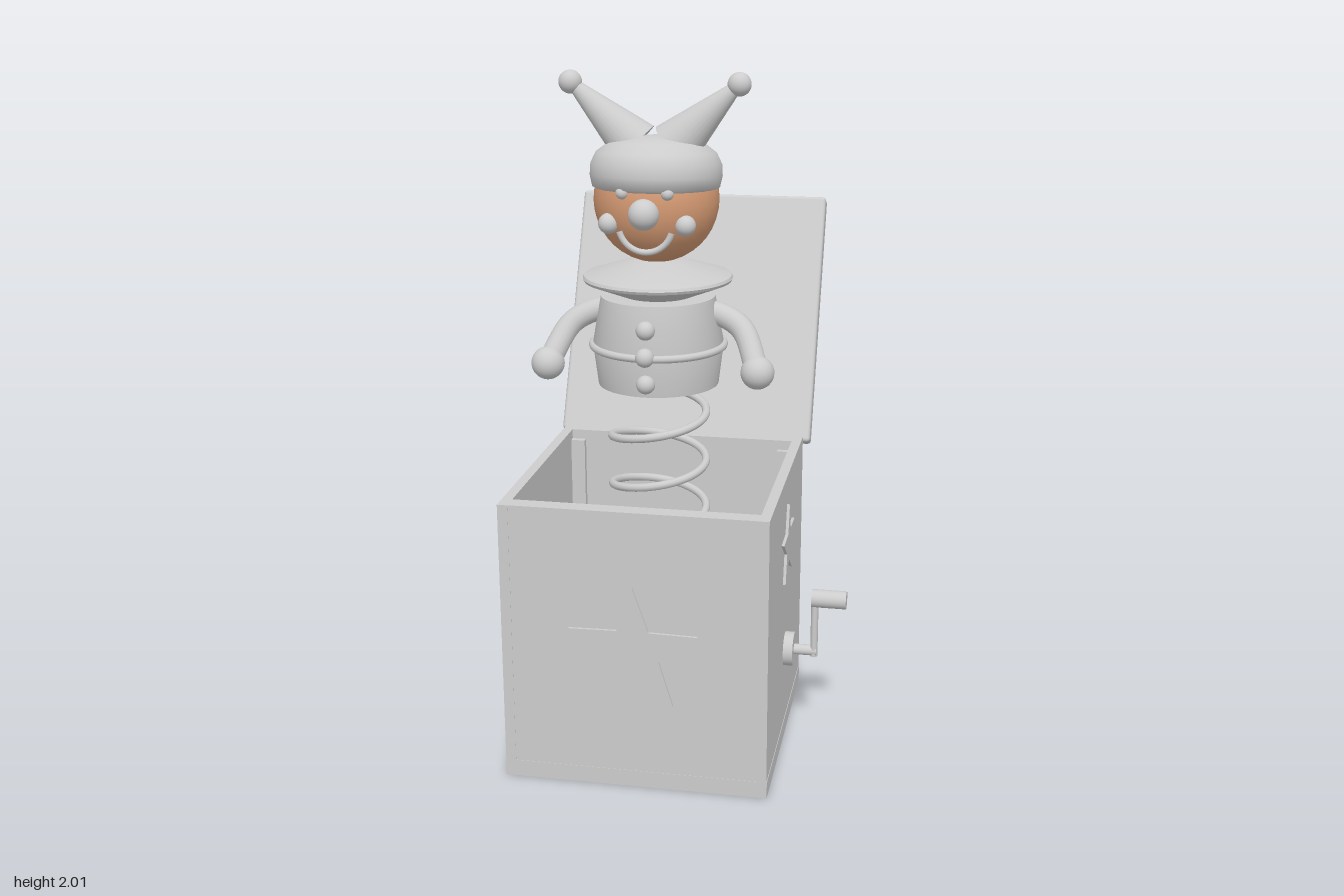
import * as THREE from 'three';
import { RoundedBoxGeometry } from 'three/addons/geometries/RoundedBoxGeometry.js';
import { toCreasedNormals } from 'three/addons/utils/BufferGeometryUtils.js';

const V = (x, y, z) => new THREE.Vector3(x, y, z);

export function createModel() {
  const model = new THREE.Group();
  // everything is centred on the axis of the box
  const toy = new THREE.Group();
  toy.name = 'jackInTheBox';
  toy.position.set(-0.083, 0, 0.206);
  model.add(toy);

  const grey = new THREE.MeshStandardMaterial({ color: 0xcccccc });
  grey.name = 'lightGrey';
  const skin = new THREE.MeshStandardMaterial({ color: 0xd69b74 });
  skin.name = 'skin';

  const add = (name, geometry, x = 0, y = 0, z = 0, material = grey) => {
    const mesh = new THREE.Mesh(geometry, material);
    mesh.name = name;
    mesh.position.set(x, y, z);
    toy.add(mesh);
    return mesh;
  };
  const ball = (name, r, x, y, z, material) =>
    add(name, new THREE.SphereGeometry(r, 28, 20), x, y, z, material);
  const box = (name, w, h, d, x, y, z) => add(name, new THREE.BoxGeometry(w, h, d), x, y, z);
  const lathe = (name, points, crease, x, y, z) => {
    const g = new THREE.LatheGeometry(points.map(p => new THREE.Vector2(...p)), 40);
    return add(name, toCreasedNormals(g, crease), x, y, z);
  };
  // cylinder or cone running between two points
  const rod = (name, a, b, r0, r1 = r0) => {
    const dir = b.clone().sub(a);
    const mesh = add(name, new THREE.CylinderGeometry(r1, r0, dir.length(), 28));
    mesh.position.copy(a).add(b).multiplyScalar(0.5);
    mesh.quaternion.setFromUnitVectors(V(0, 1, 0), dir.normalize());
    return mesh;
  };

  // open box: floor, four walls, inner corner posts
  const H = 0.84, W = 0.77;
  box('boxFloor', W, 0.05, W, 0, 0.025, 0);
  for (const s of [-1, 1]) {
    box('sideWall', 0.03, H - 0.05, W, s * 0.3685, 0.05 + (H - 0.05) / 2, 0);
    box(s > 0 ? 'frontWall' : 'backWall', 0.708, H - 0.05, 0.05, 0, 0.05 + (H - 0.05) / 2, s * 0.359);
    for (const t of [-1, 1]) box('cornerPost', 0.045, 0.76, 0.02, s * 0.332, 0.43, t * 0.325);
  }

  // raised stars on all four sides
  const star = (name, r, x, y, z, turn) => {
    const shape = new THREE.Shape();
    for (let i = 0; i < 10; i++) {
      const q = i % 2 ? r * 0.4 : r, a = Math.PI / 2 + i * Math.PI / 5;
      shape[i ? 'lineTo' : 'moveTo'](q * Math.cos(a), q * Math.sin(a));
    }
    const g = new THREE.ExtrudeGeometry(shape, { depth: 0.009, bevelEnabled: false });
    add(name, g, x, y, z).rotation.y = turn;
  };
  star('frontStar', 0.195, 0, 0.425, 0.383, 0);
  star('backStar', 0.195, 0, 0.425, -0.383, Math.PI);
  star('leftStar', 0.125, 0.383, 0.628, 0, Math.PI / 2);
  star('rightStar', 0.125, -0.383, 0.628, 0, -Math.PI / 2);

  // opened lid with knob
  add('lid', new RoundedBoxGeometry(0.807, 0.807, 0.06, 3, 0.012), 0, 1.172, -0.595).rotation.x = -0.455;
  ball('lidKnob', 0.037, 0, 1.565, -0.765);

  // crank
  rod('crankDisc', V(0.38, 0.29, 0), V(0.412, 0.29, 0), 0.051);
  rod('crankShaft', V(0.4, 0.29, 0), V(0.48, 0.29, 0), 0.016);
  rod('crankArm', V(0.472, 0.274, 0), V(0.472, 0.47, 0), 0.011).scale.z = 1.4;
  rod('crankHandle', V(0.463, 0.46, 0), V(0.566, 0.46, 0), 0.027);

  // spring
  const coil = [];
  for (let y = 1.12; y > 0.05; y -= 0.148 / 20) {
    const t = Math.PI * 2 * (1.09 - y) / 0.148;
    coil.push(V(-0.139 * Math.cos(t), y, -0.139 * Math.sin(t)));
  }
  add('spring', new THREE.TubeGeometry(new THREE.CatmullRomCurve3(coil), 360, 0.012, 10));

  // body, belt, buttons and collar
  lathe('body', [[0, 1.11], [0.175, 1.11], [0.19, 1.23], [0.165, 1.37], [0, 1.37]], 0.6);
  add('belt', new THREE.TorusGeometry(0.191, 0.011, 10, 48), 0, 1.226, 0).rotation.x = Math.PI / 2;
  for (const [y, z] of [[1.305, 0.18], [1.23, 0.192], [1.15, 0.182]]) ball('button', 0.027, 0, y, z);
  lathe('collar', [[0, 1.37], [0.1, 1.37], [0.212, 1.414], [0.216, 1.422], [0.212, 1.43], [0.06, 1.478], [0, 1.478]], 0.6);

  // arms and hands
  for (const s of [-1, 1]) {
    const path = new THREE.CatmullRomCurve3([
      V(s * 0.12, 1.33, 0), V(s * 0.185, 1.318, 0.002), V(s * 0.25, 1.283, 0.025), V(s * 0.305, 1.178, 0.1)]);
    add('arm', new THREE.TubeGeometry(path, 24, 0.034, 16));
    ball('hand', 0.048, s * 0.305, 1.178, 0.1);
  }

  // head and face
  ball('head', 0.178, 0, 1.648, 0.011, skin);
  ball('nose', 0.043, 0, 1.632, 0.188);
  for (const s of [-1, 1]) {
    ball('eye', 0.018, s * 0.063, 1.688, 0.172);
    ball('cheek', 0.029, s * 0.108, 1.598, 0.146);
  }
  const mouth = new THREE.TorusGeometry(0.076, 0.009, 10, 32, Math.PI * 0.84);
  add('mouth', mouth, 0, 1.6, 0.167).rotation.z = Math.PI * 1.08;

  // cap, tilted back a little, with two horns ending in bobbles
  lathe('cap', [[0, -0.06], [0.165, -0.06], [0.18, -0.052], [0.187, -0.02], [0.185, 0.012], [0.17, 0.043], [0.135, 0.07],
    [0.08, 0.087], [0, 0.092]], 1, 0, 1.737, 0.014).rotation.x = -0.07;
  for (const s of [-1, 1]) {
    rod('horn', V(s * 0.055, 1.8, 0.026), V(s * 0.238, 1.973, 0.034), 0.073, 0.014);
    ball('bobble', 0.033, s * 0.238, 1.972, 0.034);
  }
  return model;
}
